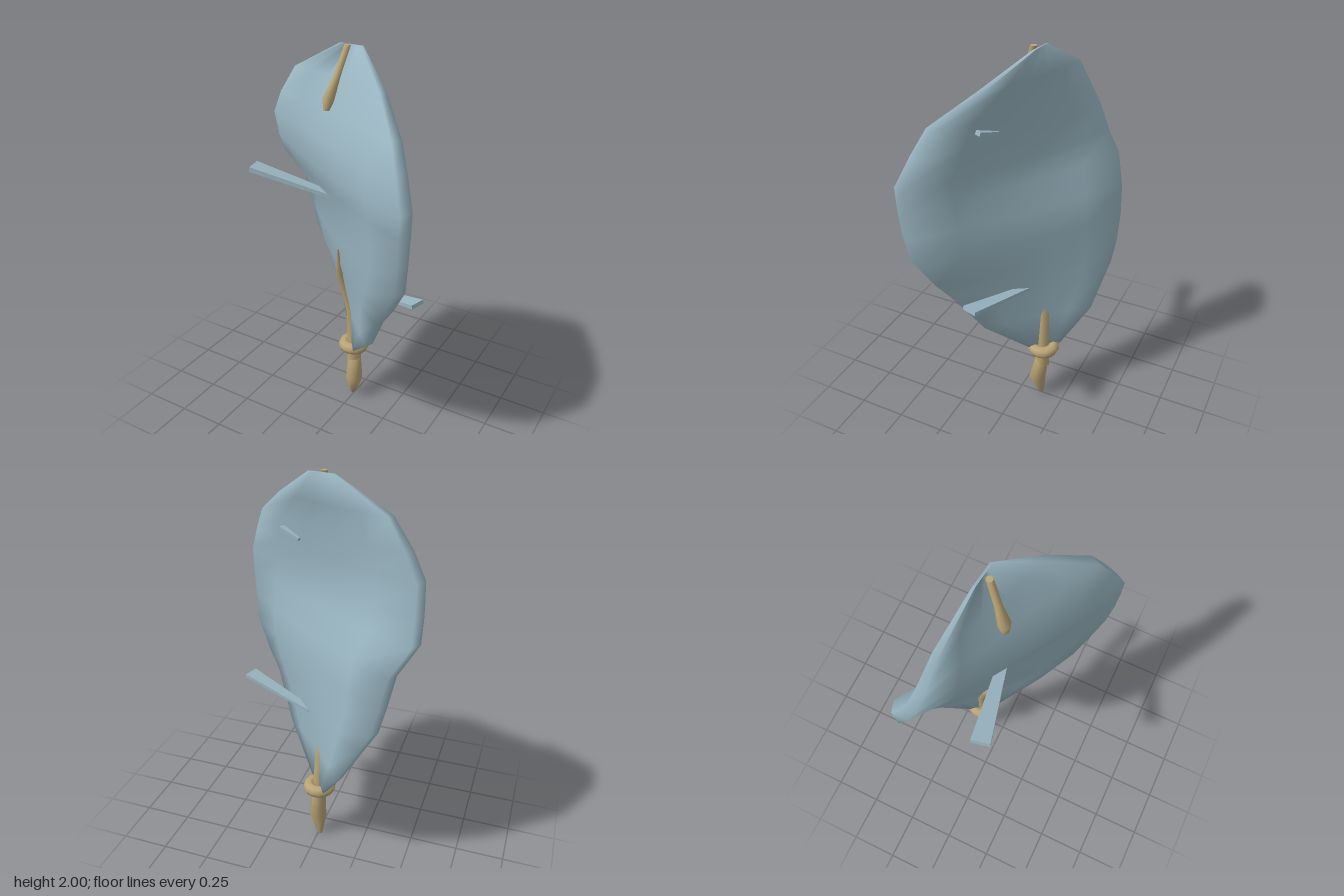
import * as THREE from 'three';
import { toCreasedNormals } from 'three/addons/utils/BufferGeometryUtils.js';

const leafBlue = new THREE.MeshStandardMaterial({ color: 0x9ab6c2 });
leafBlue.name = 'dusty blue';
const woodTan = new THREE.MeshStandardMaterial({ color: 0xbaa577 });
woodTan.name = 'wood tan';

// Skin a stack of closed rings (bottom to top) and cap both ends
function loft(rings, crease) {
  const n = rings[0].length, pos = [], idx = [];
  rings.forEach(r => r.forEach(p => pos.push(...p)));
  for (let i = 0; i < rings.length - 1; i++) {
    for (let j = 0; j < n; j++) {
      const k = (j + 1) % n;
      const a = i * n + j, b = i * n + k, c = b + n, d = a + n;
      idx.push(a, b, c, a, c, d);
    }
  }
  const top = (rings.length - 1) * n;
  for (let j = 1; j < n - 1; j++) {
    idx.push(0, j + 1, j);
    idx.push(top, top + j, top + j + 1);
  }
  const g = new THREE.BufferGeometry();
  g.setAttribute('position', new THREE.Float32BufferAttribute(pos, 3));
  g.setIndex(idx);
  return toCreasedNormals(g, crease);
}

// Round tapering limb through [x, y, z, radius] stations
function limb(stations, sides = 8) {
  return loft(stations.map(([x, y, z, r]) => Array.from({ length: sides }, (_, j) => {
    const a = (j / sides) * Math.PI * 2;
    return [x + Math.cos(a) * r, y, z - Math.sin(a) * r];
  })), 1.1);
}

// Broad twisted lens-shaped blade: two rim points per row, the half thickness
// at the rim, and how far the middle of the front and back stand off the chord
function bladeGeometry() {
  const rows = [ // y, leftX, leftZ, rightX, rightZ, rim, front, back
    [0.355, -0.065, -0.19, 0.045, -0.05, 0.016, 0.018, -0.016],
    [0.56, -0.18, -0.31, 0.22, 0.12, 0.02, 0.028, -0.008],
    [0.80, -0.305, -0.36, 0.335, 0.24, 0.024, 0.048, -0.048],
    [0.90, -0.36, -0.363, 0.40, 0.28, 0.027, 0.06, -0.055],
    [1.05, -0.395, -0.36, 0.478, 0.33, 0.03, 0.072, -0.058],
    [1.20, -0.425, -0.345, 0.495, 0.35, 0.03, 0.066, -0.06],
    [1.34, -0.51, -0.287, 0.503, 0.357, 0.031, 0.062, -0.062],
    [1.45, -0.505, -0.23, 0.506, 0.358, 0.031, 0.07, -0.066],
    [1.59, -0.493, -0.18, 0.45, 0.30, 0.03, 0.045, -0.08],
    [1.71, -0.43, -0.15, 0.395, 0.245, 0.026, 0.018, -0.078],
    [1.85, -0.335, -0.13, 0.24, 0.08, 0.018, 0.008, -0.045],
    [1.995, -0.07, -0.09, 0.05, -0.075, 0.006, 0.006, -0.006],
  ];
  const columns = [-1, -0.6, -0.2, 0.2, 0.6, 1];
  const rings = rows.map(([y, lx, lz, rx, rz, rim, front, back]) => {
    const point = (u, edge, middle) => {
      const off = THREE.MathUtils.lerp(edge, middle, 1 - Math.abs(u) ** 3);
      return [
        THREE.MathUtils.lerp(lx, rx, (u + 1) / 2) - 0.49 * off,
        y,
        THREE.MathUtils.lerp(lz, rz, (u + 1) / 2) + 0.87 * off,
      ];
    };
    const frontSide = columns.map(u => point(u, rim, front));
    const backSide = columns.map(u => point(u, -rim, back)).reverse();
    return [...frontSide, ...backSide];
  });
  return loft(rings, Math.PI);
}

// Flat leaflet that widens from its root to its tip
function leaflet(root, tip, rootWidth, tipWidth, thickness) {
  const a = new THREE.Vector3(...root), b = new THREE.Vector3(...tip);
  const along = b.clone().sub(a), length = along.length();
  along.normalize();
  const across = new THREE.Vector3().crossVectors(along, new THREE.Vector3(0, 1, 0)).normalize();
  const up = new THREE.Vector3().crossVectors(across, along);
  const g = new THREE.BoxGeometry(length, thickness, 1);
  const p = g.attributes.position;
  for (let i = 0; i < p.count; i++) {
    const atTip = p.getX(i) > 0;
    p.setZ(i, p.getZ(i) * (atTip ? tipWidth : rootWidth));
    if (!atTip) p.setY(i, p.getY(i) * 0.7);
  }
  g.applyMatrix4(new THREE.Matrix4().makeBasis(along, up, across)
    .setPosition(a.add(b).multiplyScalar(0.5)));
  g.computeVertexNormals();
  return g;
}

export function createModel() {
  const model = new THREE.Group();
  model.name = 'leafFan';
  const add = (name, geometry, material) => {
    const mesh = new THREE.Mesh(geometry, material);
    mesh.name = name;
    model.add(mesh);
    return mesh;
  };

  add('blade', bladeGeometry(), leafBlue);

  // Small leaflets poking out of the blade
  add('rightLeaflet', leaflet([-0.04, 1.284, 0.022], [-0.46, 1.385, 0.112], 0.045, 0.09, 0.026), leafBlue);
  add('leftLeaflet', leaflet([0.06, 0.759, -0.057], [0.447, 0.843, 0.062], 0.035, 0.08, 0.02), leafBlue);
  add('backLeaflet', leaflet([0.145, 1.635, 0.047], [0.25, 1.668, 0.095], 0.02, 0.045, 0.02), leafBlue);

  // Stem running up through the blade to a fine point
  add('stem', limb([
    [-0.005, 0.22, -0.122, 0.041],
    [-0.01, 0.36, -0.122, 0.036],
    [-0.02, 0.56, -0.118, 0.032],
    [-0.035, 0.70, -0.088, 0.031],
    [-0.045, 0.80, -0.055, 0.03],
    [-0.04, 0.88, -0.022, 0.018],
    [-0.025, 1.0, 0.022, 0.003],
  ]), woodTan);

  // Pointed handle end
  add('handle', limb([
    [-0.01, 0, -0.12, 0.01],
    [-0.008, 0.015, -0.118, 0.018],
    [0.007, 0.125, -0.1, 0.048],
    [-0.004, 0.25, -0.12, 0.038],
  ]), woodTan);

  // Collar around the foot of the blade
  const collar = add('collar', new THREE.TorusGeometry(0.054, 0.032, 8, 14), woodTan);
  collar.rotation.x = Math.PI / 2;
  collar.position.set(-0.01, 0.336, -0.125);

  // Twig at the tip of the blade
  add('tipTwig', limb([
    [-0.065, 1.715, 0.04, 0.02],
    [-0.06, 1.77, 0.035, 0.03],
    [-0.04, 1.86, 0.0, 0.018],
    [-0.012, 1.998, -0.05, 0.016],
  ]), woodTan);

  return model;
}
